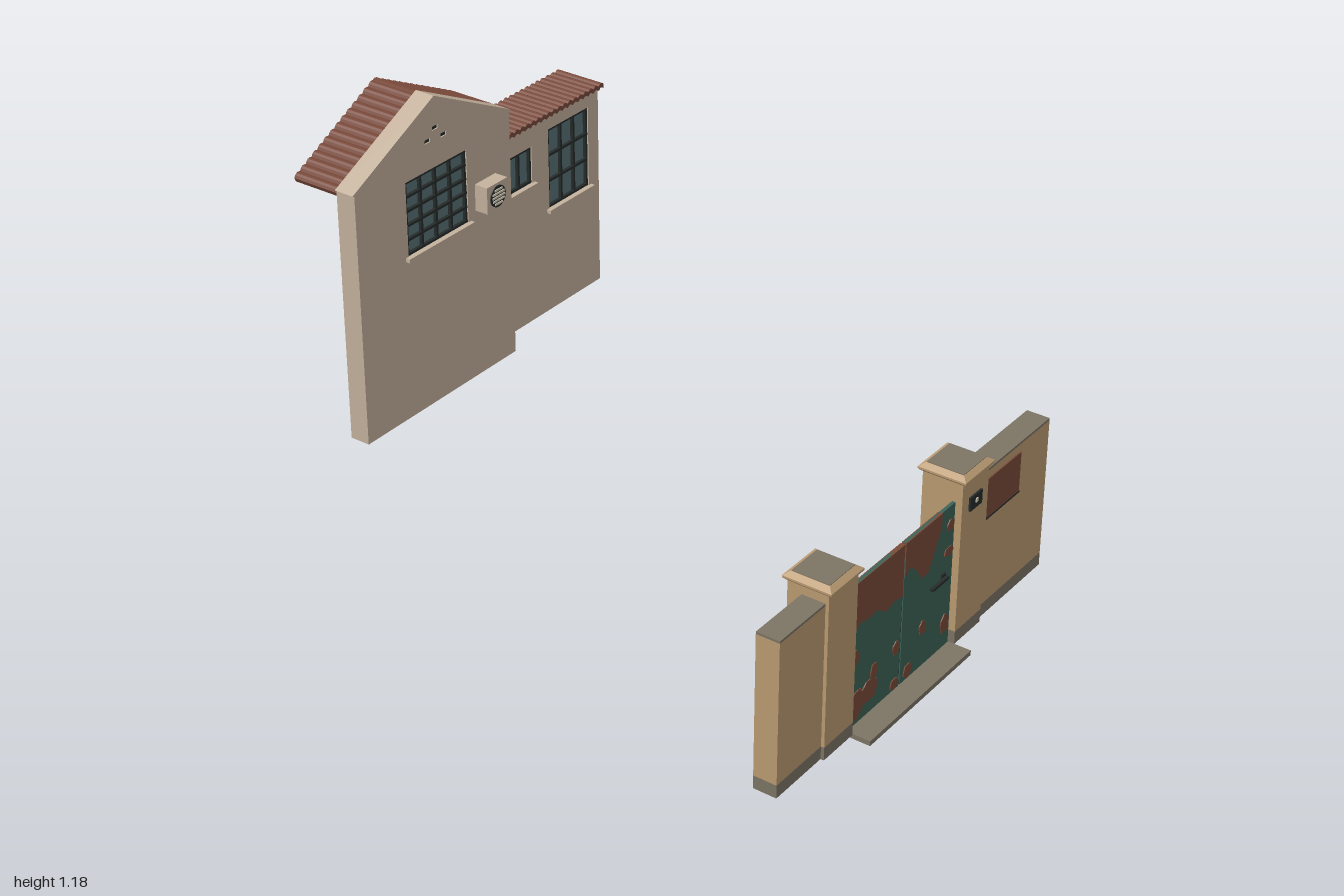
import * as THREE from 'three';

const mat = (name, color) => {
  const m = new THREE.MeshStandardMaterial({ color });
  m.name = name;
  return m;
};

export function createModel() {
  const plaster = mat('plaster', 0xc4b29d);
  const ochre = mat('ochre', 0xbd9c73);
  const stone = mat('stone', 0x7d7565);
  const glass = mat('glass', 0x587175);
  const iron = mat('iron', 0x262c2b);
  const tile = mat('roof tile', 0x7a4a3b);
  const rust = mat('rust', 0x7b4c39);
  const teal = mat('teal paint', 0x3e6459);
  const pale = mat('pale metal', 0xcfc6b4);

  const model = new THREE.Group();
  model.name = 'houseAndGate';

  const group = (name) => {
    const g = new THREE.Group();
    g.name = name;
    model.add(g);
    return g;
  };
  const add = (parent, name, geo, material) => {
    const m = new THREE.Mesh(geo, material);
    m.name = name;
    parent.add(m);
    return m;
  };
  // Box given by its limits on each axis
  const box = (parent, name, material, x0, x1, y0, y1, z0, z1) => {
    const m = add(parent, name, new THREE.BoxGeometry(x1 - x0, y1 - y0, z1 - z0), material);
    m.position.set((x0 + x1) / 2, (y0 + y1) / 2, (z0 + z1) / 2);
    return m;
  };
  const poly = (pts, Type = THREE.Shape) => new Type(pts.map(([x, y]) => new THREE.Vector2(x, y)));
  const rect = (x0, x1, y0, y1) => [[x0, y0], [x1, y0], [x1, y1], [x0, y1]];
  const slab = (parent, name, material, shape, z0, z1) => {
    const m = add(parent, name,
      new THREE.ExtrudeGeometry(shape, { depth: z1 - z0, bevelEnabled: false }), material);
    m.position.z = z0;
    return m;
  };

  // Glazed opening with a grid of bars and a sill
  const windowUnit = (name, [x0, x1, y0, y1], front, cols, rows) => {
    const g = group(name);
    const bar = 0.004;
    box(g, 'pane', glass, x0, x1, y0, y1, front - 0.024, front - 0.016);
    for (let i = 0; i <= cols; i++) {
      const x = x0 + bar + (x1 - x0 - 2 * bar) * i / cols;
      box(g, 'uprightBar', iron, x - bar, x + bar, y0, y1, front - 0.014, front - 0.004);
    }
    for (let j = 0; j <= rows; j++) {
      const y = y0 + bar + (y1 - y0 - 2 * bar) * j / rows;
      box(g, 'crossBar', iron, x0, x1, y - bar, y + bar, front - 0.013, front - 0.003);
    }
    box(g, 'sill', plaster, x0 - 0.012, x1 + 0.012, y0 - 0.012, y0, front - 0.02, front + 0.014);
  };

  // Ribbed sheet of tiles, ribs running along z
  const tileSheet = (parent, name, length, depth, ribs) => {
    const top = [], under = [], steps = ribs * 4;
    for (let i = 0; i <= steps; i++) {
      const x = length * i / steps;
      const y = -0.008 + 0.007 * Math.abs(Math.sin(Math.PI * i / 4));
      top.unshift([x, y]);
      under.push([x, y - 0.014]);
    }
    return slab(parent, name, tile, poly([...under, ...top]), 0, depth);
  };

  // Tall gabled house front
  const tall = group('gabledHouse');
  const mainWin = [-0.165, 0.1, 0.728, 0.96];
  const vents = [[-0.03, 1.08], [-0.065, 1.05], [0.005, 1.046]]
    .map(([x, y]) => rect(x - 0.012, x + 0.012, y - 0.006, y + 0.006));
  const gable = poly([[-0.375, 0.21], [0.296, 0.21], [0.296, 1.006], [0.303, 1.01],
    [-0.03, 1.177], [-0.382, 1.006], [-0.375, 1.003]]);
  gable.holes.push(poly(rect(...mainWin), THREE.Path), ...vents.map((v) => poly(v, THREE.Path)));
  slab(tall, 'gableWall', plaster, gable, -0.845, -0.78);
  vents.forEach((v) => slab(tall, 'ventHole', iron, poly(v), -0.842, -0.784));
  windowUnit('mainWindow', mainWin, -0.78, 4, 5);

  // Gable roof slopes behind the wall
  const slope = Math.atan2(0.171, 0.345), run = Math.hypot(0.345, 0.171);
  const rightSlope = tileSheet(tall, 'rightRoofSlope', run - 0.01, 0.155, 14);
  rightSlope.position.set(-0.03, 1.177, -1);
  rightSlope.rotation.z = -slope;
  const leftSlope = tileSheet(tall, 'leftRoofSlope', run, 0.155, 14);
  leftSlope.position.set(-0.38, 1.003, -1);
  leftSlope.rotation.z = slope;

  // Low side wing
  const wing = group('sideWing');
  const smallWin = [0.36, 0.475, 0.685, 0.805], wingWin = [0.555, 0.75, 0.567, 0.83];
  const wingWall = poly(rect(0.296, 0.8, 0.22, 0.875));
  wingWall.holes.push(poly(rect(...smallWin), THREE.Path), poly(rect(...wingWin), THREE.Path));
  slab(wing, 'wingWall', plaster, wingWall, -0.9, -0.845);
  windowUnit('smallWindow', smallWin, -0.845, 2, 1);
  windowUnit('wingWindow', wingWin, -0.845, 3, 3);
  box(wing, 'cornice', plaster, 0.297, 0.803, 0.87, 0.883, -0.94, -0.838);
  const wingRoof = tileSheet(wing, 'wingRoof', 0.507, 0.168, 20);
  wingRoof.position.set(0.3, 0.9, -0.995);

  // Air conditioner
  const ac = group('airConditioner');
  box(ac, 'casing', plaster, 0.133, 0.226, 0.752, 0.836, -0.78, -0.735);
  const fan = add(ac, 'fan', new THREE.CylinderGeometry(0.034, 0.034, 0.004, 20), iron);
  fan.rotation.x = Math.PI / 2;
  fan.position.set(0.18, 0.794, -0.734);
  for (let i = -2; i <= 2; i++) {
    const y = 0.794 + i * 0.011, w = Math.sqrt(0.028 ** 2 - (i * 0.011) ** 2);
    box(ac, 'grilleSlat', pale, 0.18 - w, 0.18 + w, y - 0.003, y + 0.003, -0.733, -0.729);
  }

  // Boundary walls with plinth and coping
  const fence = group('boundaryWall');
  [[-0.81, -0.6], [0.145, 0.49]].forEach(([x0, x1]) => {
    box(fence, 'plinth', stone, x0, x1, 0.012, 0.052, 0.865, 0.936);
    box(fence, 'wallPanel', ochre, x0, x1, 0.052, 0.483, 0.865, 0.936);
    box(fence, 'coping', stone, x0, x1, 0.483, 0.49, 0.865, 0.936);
  });
  box(fence, 'wallPlaque', rust, 0.155, 0.336, 0.337, 0.46, 0.936, 0.94);
  box(fence, 'plaqueEdge', iron, 0.155, 0.338, 0.332, 0.337, 0.936, 0.941);

  // Gate pillars with chamfered caps
  [-0.545, 0.087].forEach((x) => {
    const p = group('gatePillar');
    p.position.set(x, 0, 0.884);
    const h = 0.066, s = Math.SQRT2;
    box(p, 'pillarPlinth', stone, -h, h, 0.012, 0.052, -0.062, 0.062);
    box(p, 'shaft', ochre, -h, h, 0.052, 0.517, -0.062, 0.062);
    [[0.066, 0.074, 0.515, 0.523], [0.074, 0.074, 0.523, 0.529], [0.074, 0.058, 0.529, 0.54]]
      .forEach(([lo, hi, y0, y1]) => {
        const geo = new THREE.CylinderGeometry(hi * s, lo * s, y1 - y0, 4).rotateY(Math.PI / 4).toNonIndexed();
        geo.computeVertexNormals();
        add(p, 'cap', geo, ochre).position.y = (y0 + y1) / 2;
      });
    box(p, 'capTop', stone, -0.057, 0.057, 0.538, 0.542, -0.057, 0.057);
  });

  // Door bell on the right pillar
  const bell = group('doorBell');
  box(bell, 'bellPlate', iron, 0.055, 0.115, 0.418, 0.46, 0.946, 0.952);
  box(bell, 'bellButton', pale, 0.08, 0.09, 0.436, 0.448, 0.952, 0.955);

  // Threshold step
  box(group('threshold'), 'step', stone, -0.478, 0.018, 0, 0.015, 0.865, 1);

  // Gate leaves
  const gate = group('gate');
  const z0 = 0.918, z1 = 0.928;
  box(gate, 'leftLeaf', teal, -0.474, -0.232, 0.015, 0.46, z0, z1);
  box(gate, 'rightLeaf', teal, -0.226, 0.016, 0.015, 0.46, z0, z1);
  box(gate, 'leafGap', iron, -0.232, -0.226, 0.015, 0.455, z0 + 0.002, z1 - 0.003);

  // Rust along the top of each leaf, with a ragged lower edge
  const rustBand = (x0, x1, heights) => {
    const edge = heights.map((y, i) => [x0 + (x1 - x0) * i / (heights.length - 1), y]);
    slab(gate, 'rustBand', rust, poly([...edge, [x1, 0.46], [x0, 0.46]]), z0 - 0.002, z1 + 0.002);
  };
  rustBand(-0.474, -0.232, [0.305, 0.33, 0.322, 0.325, 0.297, 0.308, 0.3]);
  rustBand(-0.226, -0.05, [0.355, 0.373, 0.345, 0.305, 0.308, 0.36, 0.42]);

  // Ragged rust spots: centre x, centre y, half width, half height
  [[-0.452, 0.228, 0.022, 0.028], [-0.44, 0.075, 0.034, 0.055], [-0.385, 0.09, 0.05, 0.04],
    [-0.358, 0.14, 0.02, 0.03], [-0.252, 0.15, 0.02, 0.025], [-0.255, 0.035, 0.023, 0.02],
    [-0.005, 0.4, 0.02, 0.02], [-0.01, 0.32, 0.026, 0.017], [-0.125, 0.143, 0.02, 0.026],
    [-0.19, 0.043, 0.024, 0.026], [-0.008, 0.09, 0.024, 0.036],
  ].forEach(([x, y, w, h], k) => {
    const pts = [];
    for (let i = 0; i < 14; i++) {
      const a = i / 14 * Math.PI * 2, r = 0.83 + 0.17 * Math.sin(3 * a + k * 2.1) * Math.cos(2 * a + k);
      pts.push([x + w * r * Math.cos(a), y + h * r * Math.sin(a)]);
    }
    slab(gate, 'rustSpot', rust, poly(pts), z0 - 0.003, z1 + 0.003);
  });

  // Handle
  box(gate, 'handlePlate', iron, -0.04, -0.022, 0.24, 0.262, z1, 0.934);
  box(gate, 'handleLever', iron, -0.102, -0.022, 0.246, 0.254, 0.934, 0.944);

  return model;
}
